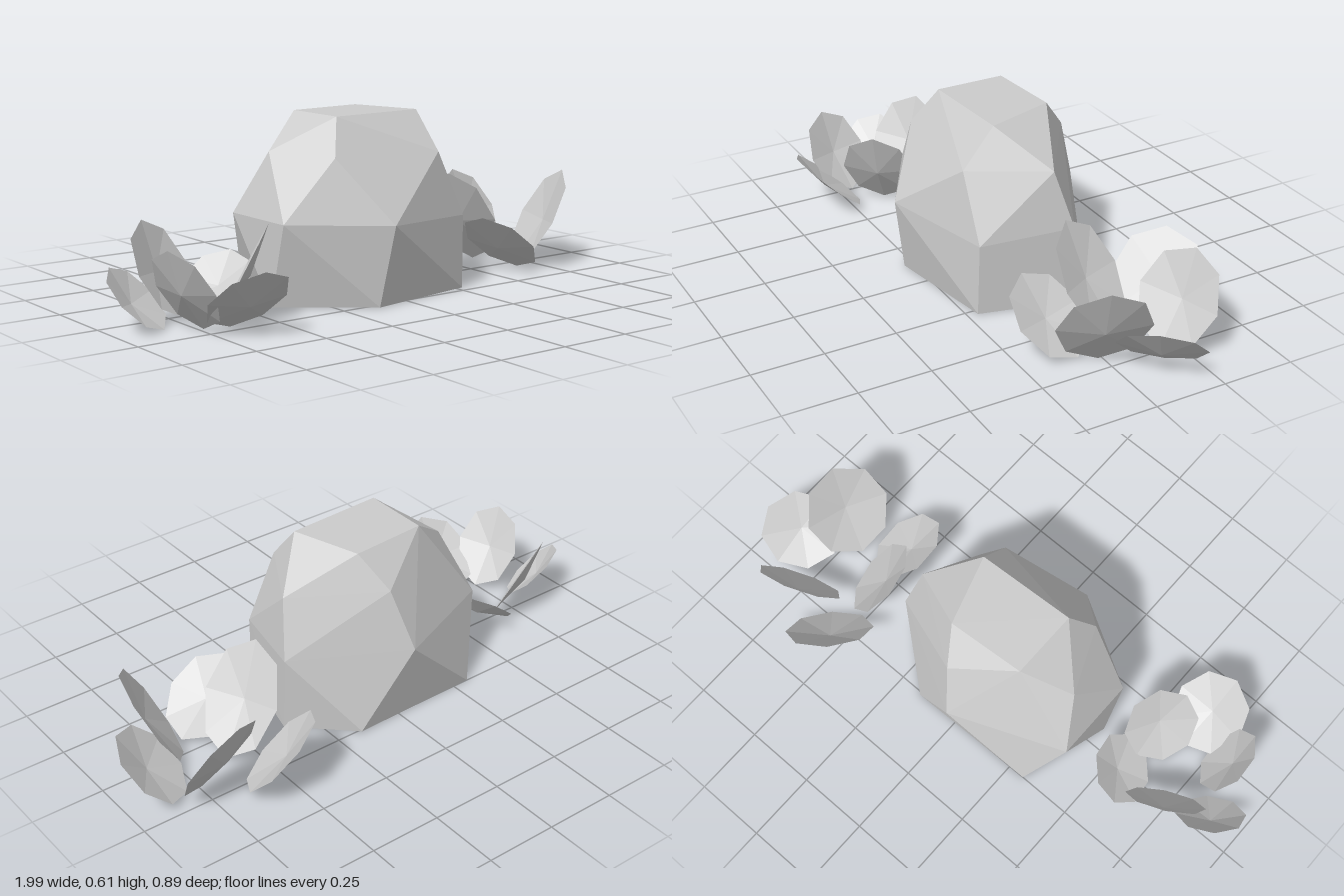
import * as THREE from 'three';
import { ConvexGeometry } from 'three/addons/geometries/ConvexGeometry.js';

const V = (p) => new THREE.Vector3(...p);
const UP = new THREE.Vector3(0, 1, 0);

export function createModel() {
  const stone = new THREE.MeshStandardMaterial({ color: 0xcccccc, flatShading: true, side: THREE.DoubleSide });
  stone.name = 'paleGrey';
  const model = new THREE.Group();
  model.name = 'rockWithPlants';

  // Faceted boulder: rings of corners from the ground to the flat top
  const rings = [
    [[0.275, 0, 0.215], [-0.13, 0, 0.283], [-0.41, 0, 0.07], [-0.31, 0, -0.25], [0.16, 0, -0.26], [0.35, 0, -0.08]],
    [[0.28, 0.25, 0.21], [-0.1, 0.27, 0.327], [-0.41, 0.28, 0.145], [-0.41, 0.28, -0.15], [-0.02, 0.28, -0.31], [0.355, 0.275, -0.1]],
    [[0.17, 0.475, 0.21], [-0.24, 0.485, 0.19], [-0.34, 0.49, -0.04], [0.03, 0.49, -0.24], [0.315, 0.475, -0.043]],
    [[-0.18, 0.607, 0.115], [0.165, 0.607, 0.096], [0.09, 0.607, -0.145], [-0.18, 0.607, -0.125]],
  ];
  const rock = new THREE.Mesh(new ConvexGeometry(rings.flat().map(V)), stone);
  rock.name = 'rock';
  model.add(rock);

  // Cupped eight-sided leaf, hollow side along facing; halfLength runs up the slope
  function leaf(centre, facing, halfLength, halfWidth) {
    const normal = V(facing).normalize();
    const side = new THREE.Vector3().crossVectors(UP, normal).normalize();
    const slope = new THREE.Vector3().crossVectors(normal, side);
    const geo = new THREE.CircleGeometry(1, 8);
    geo.attributes.position.setZ(0, -0.025);
    geo.scale(halfWidth, halfLength, 1);
    geo.applyMatrix4(new THREE.Matrix4().makeBasis(side, slope, normal).setPosition(...centre));
    const mesh = new THREE.Mesh(geo, stone);
    mesh.name = 'leaf';
    return mesh;
  }

  // Two open rosettes of six leaves, one on each side of the rock
  const plants = {
    leftPlant: [
      [[0.53, 0.127, -0.315], [0.52, 0.67, 0.53], 0.168, 0.155],
      [[0.51, 0.18, -0.07], [0.75, 0.5, -0.33], 0.2, 0.135],
      [[0.545, 0.107, 0.105], [0.62, 0.75, -0.2], 0.16, 0.135],
      [[0.775, 0.168, 0.048], [-0.8, 0.48, -0.33], 0.193, 0.153],
      [[0.872, 0.106, -0.1], [-0.53, 0.7, -0.45], 0.15, 0.145],
      [[0.72, 0.155, -0.26], [0.25, 0.48, 0.83], 0.17, 0.155],
    ],
    rightPlant: [
      [[-0.89, 0.092, 0.05], [0.46, 0.69, 0.56], 0.128, 0.12],
      [[-0.75, 0.155, -0.03], [0.42, 0.45, 0.78], 0.168, 0.138],
      [[-0.562, 0.092, -0.022], [-0.59, 0.74, 0.3], 0.13, 0.125],
      [[-0.575, 0.155, 0.165], [-0.7, 0.46, -0.54], 0.172, 0.13],
      [[-0.665, 0.107, 0.325], [0.06, 0.74, -0.67], 0.158, 0.135],
      [[-0.818, 0.138, 0.222], [0.78, 0.48, -0.25], 0.155, 0.12],
    ],
  };
  for (const [name, leaves] of Object.entries(plants)) {
    const plant = new THREE.Group();
    plant.name = name;
    for (const spec of leaves) plant.add(leaf(...spec));
    model.add(plant);
  }
  return model;
}
